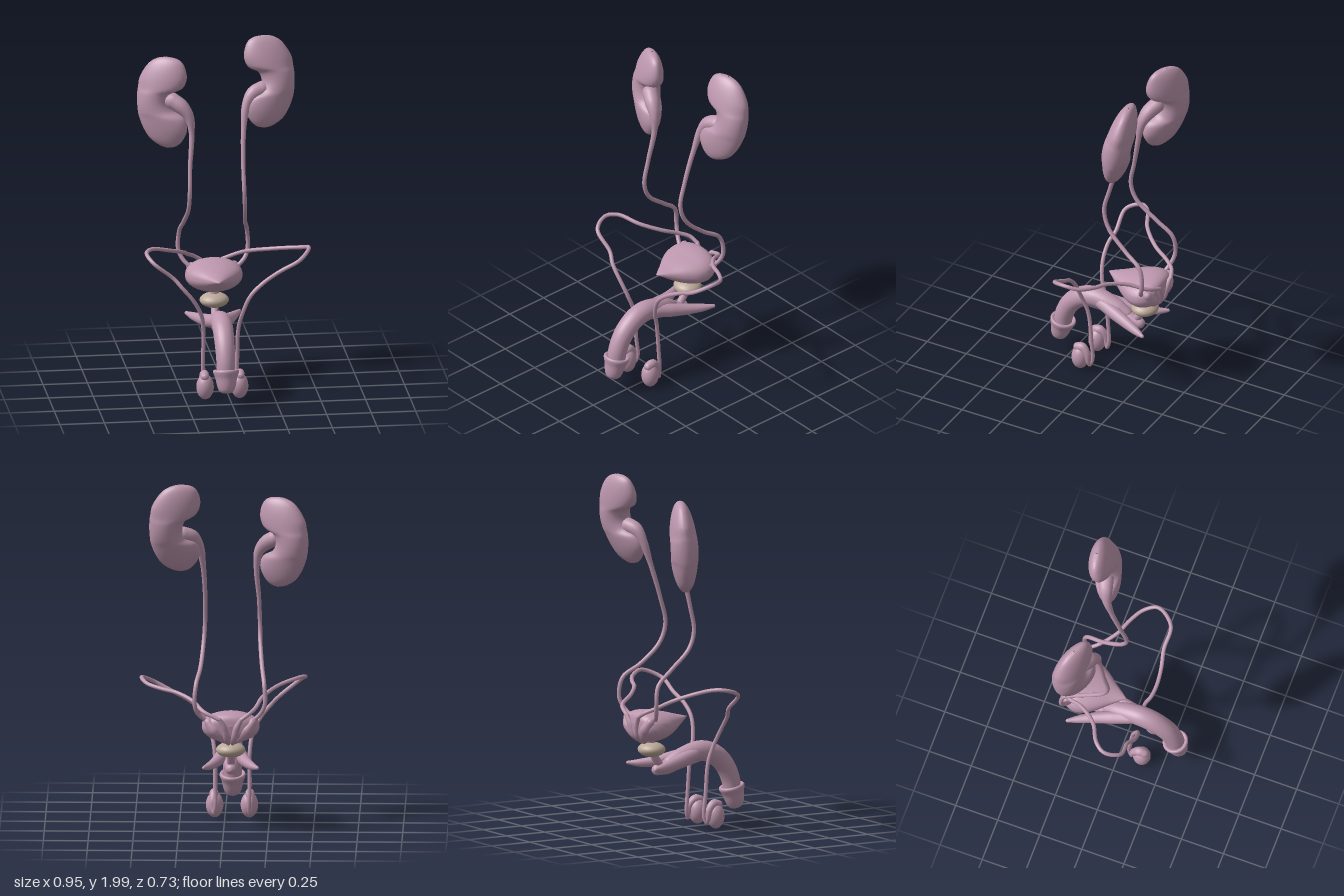
import * as THREE from 'three';

const MID = -0.04; // x of the midline organs
const V = (x, y, z) => new THREE.Vector3(x, y, z);

// Smooth closed skin over a list of rings, each an array of Vector3
function loft(rings) {
  const n = rings[0].length, pos = [], idx = [];
  rings.forEach(r => r.forEach(p => pos.push(p.x, p.y, p.z)));
  for (let i = 0; i < rings.length - 1; i++)
    for (let j = 0; j < n; j++) {
      const a = i * n + j, b = i * n + (j + 1) % n;
      idx.push(a, b, a + n, b, b + n, a + n);
    }
  // Turn the faces outwards when the enclosed volume is negative
  let vol = 0;
  const at = k => V(pos[3 * k], pos[3 * k + 1], pos[3 * k + 2]);
  for (let k = 0; k < idx.length; k += 3) vol += at(idx[k]).dot(at(idx[k + 1]).cross(at(idx[k + 2])));
  if (vol < 0) idx.reverse();
  const g = new THREE.BufferGeometry();
  g.setAttribute('position', new THREE.Float32BufferAttribute(pos, 3));
  g.setIndex(idx);
  g.computeVertexNormals();
  return g;
}

// Rounded tube through points [x, y, z, radius]
function taper(pts, sides = 14, perSpan = 7) {
  const curve = new THREE.CatmullRomCurve3(pts.map(p => V(p[0], p[1], p[2])), false, 'centripetal');
  const n = (pts.length - 1) * perSpan, rings = [];
  curve.arcLengthDivisions = n * 8;
  const frames = curve.computeFrenetFrames(n, false), len = curve.getLength();
  const ring = (c, i, r) => Array.from({ length: sides }, (_, j) => {
    const a = j / sides * Math.PI * 2;
    return c.clone().addScaledVector(frames.normals[i], r * Math.cos(a)).addScaledVector(frames.binormals[i], r * Math.sin(a));
  });
  const cap = (i, s, r) => [0.0001, 0.5, 0.85].map(k =>
    ring(curve.getPointAt(s < 0 ? 0 : 1).addScaledVector(frames.tangents[i], s * r * Math.sqrt(1 - k * k) * 0.8), i, r * k));
  rings.push(...cap(0, -1, pts[0][3]));
  for (let i = 0; i <= n; i++) {
    const u = curve.getUtoTmapping(i / n) * (pts.length - 1);
    const k = Math.min(Math.floor(u), pts.length - 2);
    rings.push(ring(curve.getPointAt(i / n), i, THREE.MathUtils.lerp(pts[k][3], pts[k + 1][3], u - k)));
  }
  rings.push(...cap(n, 1, pts[pts.length - 1][3]).reverse());
  return loft(rings);
}

// Bean shape: rows of height, outer edge, inner edge; side = +1 or -1 turns the notch
function kidneyGeometry(side) {
  const rows = [[0.26, 0.02, 0.022], [0.25, -0.03, 0.085], [0.22, -0.075, 0.12], [0.14, -0.125, 0.137], [0.085, -0.135, 0.115],
    [0.05, -0.139, 0.055], [0, -0.14, 0.04], [-0.05, -0.137, 0.06], [-0.09, -0.13, 0.12], [-0.15, -0.108, 0.137],
    [-0.21, -0.07, 0.115], [-0.25, -0.01, 0.075], [-0.26, 0.03, 0.032]];
  const curve = new THREE.CatmullRomCurve3(rows.map(r => V(r[1], r[0], r[2])));
  const rings = [];
  for (let i = 0; i <= 60; i++) {
    const p = curve.getPoint(i / 60), c = (p.x + p.z) / 2, w = (p.z - p.x) / 2;
    const d = 0.078 * Math.sqrt(Math.max(0, 1 - (p.y / 0.261) ** 2));
    rings.push(Array.from({ length: 32 }, (_, j) => {
      const a = j / 32 * Math.PI * 2;
      return V(side * (c + w * Math.cos(a)) * 1.04, p.y, d * Math.sin(a));
    }));
  }
  return loft(rings);
}

// Bladder: cross-sections [z, half width, top, bottom]
function bladderGeometry() {
  const rows = [[0, 0.002, 0.642, 0.638], [-0.03, 0.027, 0.65, 0.62], [-0.08, 0.066, 0.662, 0.585], [-0.14, 0.115, 0.678, 0.55],
    [-0.2, 0.151, 0.69, 0.528], [-0.26, 0.161, 0.7, 0.52], [-0.31, 0.142, 0.697, 0.535], [-0.34, 0.1, 0.68, 0.56], [-0.352, 0.002, 0.63, 0.626]];
  const mid = new THREE.CatmullRomCurve3(rows.map(r => V(r[1], (r[2] + r[3]) / 2, r[0])));
  const tall = new THREE.CatmullRomCurve3(rows.map(r => V(r[1], (r[2] - r[3]) / 2, r[0])));
  const rings = [];
  for (let i = 0; i <= 48; i++) {
    const m = mid.getPoint(i / 48), h = tall.getPoint(i / 48).y;
    rings.push(Array.from({ length: 36 }, (_, j) => {
      const a = j / 36 * Math.PI * 2, s = Math.sin(a);
      const y = s > 0 ? Math.pow(s, 0.8) : s;
      return V(MID + m.x * Math.cos(a), m.y + h * y, m.z);
    }));
  }
  return loft(rings);
}

export function createModel() {
  const model = new THREE.Group();
  model.name = 'urinaryAndReproductiveTract';
  const tissue = new THREE.MeshStandardMaterial({ name: 'pinkTissue', color: 0xbd97ae });
  const gland = new THREE.MeshStandardMaterial({ name: 'tanGland', color: 0xbba898 });
  const add = (name, geometry, material = tissue) => {
    const m = new THREE.Mesh(geometry, material);
    m.name = name;
    model.add(m);
    return m;
  };
  const ball = (name, p, r, material) => {
    const m = add(name, new THREE.SphereGeometry(1, 28, 20), material);
    m.position.set(...p);
    m.scale.set(...r);
    return m;
  };
  const deg = Math.PI / 180;

  // Kidneys
  const rightKidney = add('rightKidney', kidneyGeometry(1));
  rightKidney.position.set(-0.335, 1.65, -0.2);
  rightKidney.rotation.set(-4 * deg, -25 * deg, 0);
  const leftKidney = add('leftKidney', kidneyGeometry(-1));
  leftKidney.position.set(0.27, 1.737, -0.237);
  leftKidney.rotation.set(-11 * deg, 10 * deg, 0);

  // Ureters, widening into the renal pelvis at the top
  add('rightUreter', taper([[-0.29, 1.67, -0.17, 0.045], [-0.235, 1.635, -0.14, 0.042], [-0.195, 1.58, -0.12, 0.028], [-0.182, 1.49, -0.11, 0.016],
    [-0.195, 1.3, -0.075, 0.012], [-0.2, 1.15, -0.05, 0.012], [-0.203, 1.05, -0.085, 0.012], [-0.215, 0.94, -0.21, 0.012],
    [-0.228, 0.86, -0.3, 0.012], [-0.232, 0.75, -0.315, 0.012], [-0.205, 0.69, -0.3, 0.012], [-0.14, 0.63, -0.27, 0.012]]));
  add('leftUreter', taper([[0.235, 1.7, -0.22, 0.045], [0.175, 1.68, -0.2, 0.04], [0.135, 1.62, -0.18, 0.026], [0.115, 1.5, -0.145, 0.015],
    [0.105, 1.3, -0.085, 0.012], [0.107, 1.15, -0.05, 0.012], [0.115, 1.04, -0.085, 0.012], [0.13, 0.93, -0.2, 0.012],
    [0.152, 0.86, -0.3, 0.012], [0.16, 0.75, -0.32, 0.012], [0.14, 0.69, -0.3, 0.012], [0.07, 0.63, -0.27, 0.012]]));

  // Bladder, prostate and urethra
  add('bladder', bladderGeometry());
  ball('prostate', [MID, 0.473, -0.23], [0.082, 0.042, 0.076], gland);
  add('urethra', taper([[MID, 0.55, -0.24, 0.03], [MID, 0.45, -0.22, 0.022], [MID, 0.37, -0.17, 0.022]]));

  // Shaft, bulb and flared glans
  add('shaft', taper([[MID, 0.17, 0.3, 0.05], [MID, 0.27, 0.283, 0.053], [MID, 0.36, 0.235, 0.056], [MID, 0.42, 0.16, 0.058],
    [MID, 0.438, 0.09, 0.058], [MID, 0.43, 0.02, 0.054], [MID, 0.41, -0.06, 0.045], [MID, 0.39, -0.12, 0.03]], 24));
  add('bulb', taper([[MID, 0.405, 0.07, 0.03], [MID, 0.385, -0.04, 0.036], [MID, 0.365, -0.13, 0.042], [MID, 0.352, -0.2, 0.03]], 18));
  const glansProfile = [[0.0001, -0.075], [0.025, -0.073], [0.042, -0.06], [0.053, -0.03], [0.061, 0.01], [0.07, 0.035],
    [0.073, 0.048], [0.068, 0.058], [0.055, 0.056], [0.045, 0.045]].map(p => new THREE.Vector2(...p));
  const glans = add('glans', new THREE.LatheGeometry(new THREE.SplineCurve(glansProfile).getPoints(36), 32));
  glans.position.set(MID, 0.17, 0.305);
  glans.rotation.x = -14 * deg;

  // Paired parts mirrored about the midline
  for (const [side, s] of [['right', -1], ['left', 1]]) {
    const x = d => MID + s * d;
    add(side + 'Crus', taper([[x(0.025), 0.43, 0.04, 0.035], [x(0.05), 0.405, -0.06, 0.038], [x(0.08), 0.388, -0.15, 0.032],
      [x(0.12), 0.38, -0.24, 0.022], [x(0.15), 0.382, -0.295, 0.01]]));
    add(side + 'SeminalVesicle', taper([[x(0.015), 0.525, -0.28, 0.014], [x(0.05), 0.56, -0.31, 0.026],
      [x(0.09), 0.605, -0.32, 0.034], [x(0.125), 0.65, -0.31, 0.024]]));
    add(side + 'Ampulla', taper([[x(0.012), 0.52, -0.285, 0.012], [x(0.02), 0.56, -0.33, 0.02],
      [x(0.035), 0.62, -0.345, 0.02], [x(0.06), 0.67, -0.355, 0.012]]));

    const testis = x(0.1);
    ball(side + 'Testis', [testis - 0.003 * s, 0.08, 0.13], [0.049, 0.072, 0.05]);
    add(side + 'Epididymis', taper([[testis, 0.142, 0.15, 0.024], [testis, 0.148, 0.115, 0.026], [testis + 0.005 * s, 0.115, 0.083, 0.02],
      [testis + 0.005 * s, 0.07, 0.075, 0.016], [testis, 0.045, 0.068, 0.012]]));
  }

  // Ducts looping out from the testes and back behind the bladder
  const duct = pts => taper(pts.map(p => [...p, 0.0115]), 10, 6);
  add('rightDuct', duct([[-0.14, 0.045, 0.068], [-0.135, 0.08, 0.055], [-0.14, 0.2, 0.062], [-0.14, 0.39, 0.08], [-0.155, 0.49, 0.11],
    [-0.2, 0.58, 0.128], [-0.265, 0.66, 0.128], [-0.31, 0.71, 0.108], [-0.42, 0.8, 0.105], [-0.452, 0.838, 0.02], [-0.41, 0.842, -0.04],
    [-0.3, 0.81, -0.1], [-0.215, 0.765, -0.2], [-0.18, 0.725, -0.29], [-0.145, 0.7, -0.34], [-0.1, 0.67, -0.357]]));
  add('leftDuct', duct([[0.06, 0.045, 0.068], [0.052, 0.08, 0.055], [0.052, 0.2, 0.062], [0.056, 0.39, 0.08], [0.075, 0.49, 0.11],
    [0.12, 0.6, 0.128], [0.19, 0.67, 0.125], [0.28, 0.725, 0.107], [0.4, 0.79, 0.104], [0.462, 0.832, 0.01], [0.43, 0.812, -0.065],
    [0.35, 0.795, -0.12], [0.26, 0.78, -0.16], [0.17, 0.75, -0.24], [0.11, 0.71, -0.33], [0.02, 0.67, -0.357]]));

  return model;
}
